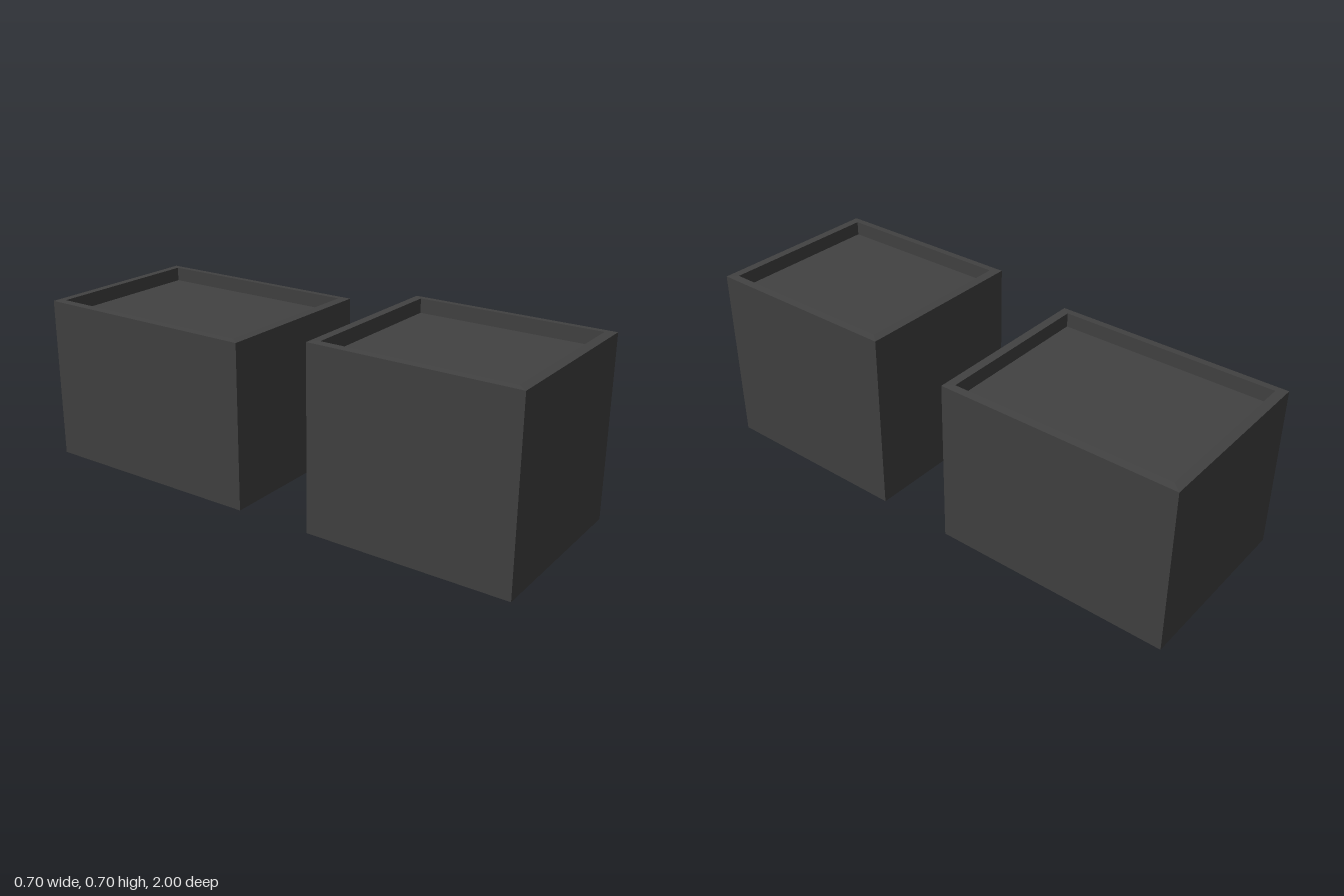
import * as THREE from 'three';

// Rectangular ring of four corners at height y, counter-clockwise from above
const ring = (x, y, zBack, zFront) => [
  [-x, y, zFront], [x, y, zFront], [x, y, zBack], [-x, y, zBack],
];

// Joins successive rings with flat quads; optional caps on first and last ring
function ringGeometry(rings, capFirst, capLast) {
  const points = [];
  const quad = (a, b, c, d) => points.push(...a, ...b, ...c, ...a, ...c, ...d);
  for (let r = 0; r < rings.length - 1; r++) {
    const low = rings[r], high = rings[r + 1];
    for (let i = 0; i < 4; i++) {
      const j = (i + 1) % 4;
      quad(low[i], low[j], high[j], high[i]);
    }
  }
  if (capFirst) quad(...[...rings[0]].reverse());
  if (capLast) quad(...rings[rings.length - 1]);
  const geometry = new THREE.BufferGeometry();
  geometry.setAttribute('position', new THREE.Float32BufferAttribute(points, 3));
  geometry.computeVertexNormals();
  return geometry;
}

export function createModel() {
  const charcoal = new THREE.MeshStandardMaterial({ color: 0x424242 });
  charcoal.name = 'charcoal';

  const halfWidth = 0.35, wallX = 0.03, wallZ = 0.036;
  const recess = 0.055, rimSlope = 0.002;

  function planter(name, height, zBack, zFront) {
    const group = new THREE.Group();
    group.name = name;
    const innerX = halfWidth - wallX, innerBack = zBack + wallZ, innerFront = zFront - wallZ;
    const add = (part, ...args) => {
      const mesh = new THREE.Mesh(ringGeometry(...args), charcoal);
      mesh.name = part;
      group.add(mesh);
    };

    const outerTop = ring(halfWidth, height - rimSlope, zBack, zFront);
    const innerTop = ring(innerX, height, innerBack, innerFront);
    const floor = ring(innerX, height - recess, innerBack, innerFront);

    // Outer walls and underside
    add('outerBox', [ring(halfWidth, 0, zBack, zFront), outerTop], true, false);
    // Rim rising very slightly toward the opening
    add('rim', [outerTop, innerTop], false, false);
    // Shallow recess with its floor
    add('recess', [innerTop, floor], false, true);
    return group;
  }

  const model = new THREE.Group();
  model.name = 'boxPair';
  model.add(planter('frontBox', 0.7, 0.215, 1), planter('backBox', 0.64, -1, -0.085));
  return model;
}
